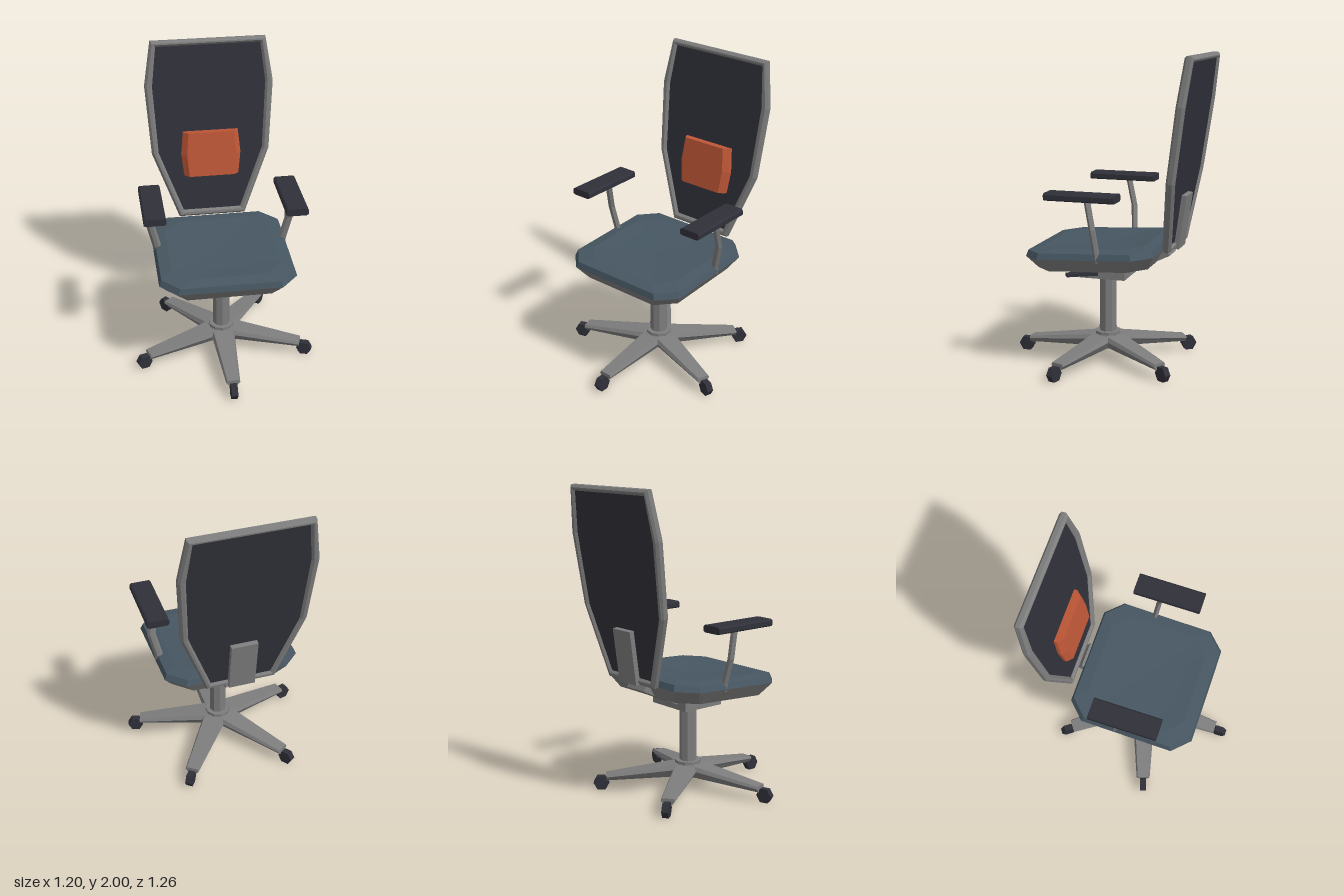
import * as THREE from 'three';

const mat = (name, color) => Object.assign(new THREE.MeshStandardMaterial({ color }), { name });

// Faceted solid through a list of rings (arrays of [x, y, z]), capped at both ends
function loft(rings) {
  const tris = [];
  const n = rings[0].length;
  for (let i = 0; i < rings.length - 1; i++) {
    for (let j = 0; j < n; j++) {
      const k = (j + 1) % n;
      const [a, b, c, d] = [rings[i][j], rings[i][k], rings[i + 1][k], rings[i + 1][j]];
      tris.push([a, b, c], [a, c, d]);
    }
  }
  const first = rings[0], last = rings[rings.length - 1];
  for (let j = 1; j < n - 1; j++) {
    tris.push([first[0], first[j + 1], first[j]], [last[0], last[j], last[j + 1]]);
  }
  // Signed volume tells whether the faces point outward
  let volume = 0;
  for (const [a, b, c] of tris) {
    volume += new THREE.Vector3(...a).dot(new THREE.Vector3(...b).cross(new THREE.Vector3(...c)));
  }
  if (volume < 0) tris.forEach((t) => t.reverse());
  const g = new THREE.BufferGeometry();
  g.setAttribute('position', new THREE.Float32BufferAttribute(tris.flat(2), 3));
  g.computeVertexNormals();
  return g;
}

// Faceted cylinder
function prism(rTop, rBottom, height, sides) {
  const g = new THREE.CylinderGeometry(rTop, rBottom, height, sides).toNonIndexed();
  g.computeVertexNormals();
  return g;
}

// Square ring with cut corners, half sizes w and d
function octagon(w, d, y, cut = 0.11) {
  return [[w, d - cut], [w - cut, d], [cut - w, d], [-w, d - cut],
    [-w, cut - d], [cut - w, -d], [w - cut, -d], [w, cut - d]].map(([x, z]) => [x, y, z]);
}

// Mirrored outline from right-hand points listed bottom to top
function mirrored(points) {
  const left = points.map(([x, y]) => [-x, y]).reverse();
  return [...points, ...left].map(([x, y]) => new THREE.Vector2(x, y));
}

export function createModel() {
  const grey = mat('grey plastic', 0x7d7d7d);
  const dark = mat('dark mesh and rubber', 0x30303a);
  const blue = mat('blue grey fabric', 0x465661);
  const orange = mat('orange cushion', 0xbf5737);

  const model = new THREE.Group();
  model.name = 'officeChair';
  const add = (parent, name, geometry, material, x = 0, y = 0, z = 0) => {
    const m = new THREE.Mesh(geometry, material);
    m.name = name;
    m.position.set(x, y, z);
    parent.add(m);
    return m;
  };

  // Five-legged base with casters
  const base = new THREE.Group();
  base.name = 'base';
  base.position.z = 0.013;
  model.add(base);
  const legRing = (z, w, wLow, y0, y1, y2) => [[wLow, y0, z], [w, y1, z], [w * 0.82, y2, z],
    [-w * 0.82, y2, z], [-w, y1, z], [-wLow, y0, z]];
  const legGeometry = loft([
    legRing(0, 0.085, 0.05, 0.09, 0.15, 0.18),
    legRing(0.54, 0.046, 0.028, 0.065, 0.09, 0.105),
  ]);
  const wheelGeometry = prism(0.051, 0.051, 0.042, 6).rotateY(Math.PI / 2).rotateZ(Math.PI / 2);
  // Set the wheel on a flat side
  wheelGeometry.computeBoundingBox();
  if (wheelGeometry.boundingBox.max.y > 0.048) wheelGeometry.rotateX(Math.PI / 6);
  for (let i = 0; i < 5; i++) {
    const leg = new THREE.Group();
    leg.name = 'leg' + (i + 1);
    leg.rotation.y = (i * Math.PI * 2) / 5;
    add(leg, 'legBeam', legGeometry, grey);
    add(leg, 'casterWheel', wheelGeometry, dark, 0, 0.0445, 0.572);
    base.add(leg);
  }
  add(base, 'hub', prism(0.08, 0.075, 0.1, 10), grey, 0, 0.13);
  add(base, 'hubCollar', prism(0.085, 0.085, 0.02, 10), grey, 0, 0.18);
  add(base, 'column', prism(0.056, 0.056, 0.37, 8), grey, 0, 0.365);
  add(base, 'gasLift', prism(0.04, 0.04, 0.06, 8), grey, 0, 0.56);

  // Tilt mechanism, lever and rear brace
  add(model, 'mechanism', new THREE.BoxGeometry(0.33, 0.11, 0.3), grey, 0, 0.627, 0.002);
  const lever = add(model, 'lever', new THREE.BoxGeometry(0.05, 0.02, 0.2), dark, 0.23, 0.612, 0.115);
  lever.rotation.y = Math.PI / 6;
  const braceSide = (x) => [[x, 0.6, -0.14], [x, 0.67, -0.14], [x, 0.79, -0.395], [x, 0.735, -0.42]];
  add(model, 'rearBrace', loft([braceSide(-0.085), braceSide(0.085)]), grey);

  // Seat shell and dished cushion, tipped slightly forward
  const seat = new THREE.Group();
  seat.name = 'seat';
  seat.position.set(0, 0.752, 0.035);
  seat.rotation.x = 0.055;
  model.add(seat);
  add(seat, 'seatShell', loft([octagon(0.38, 0.362, -0.085), octagon(0.44, 0.418, 0)]), grey);
  add(seat, 'seatCushion', loft([
    octagon(0.44, 0.418, 0),
    octagon(0.425, 0.405, 0.038),
    octagon(0.35, 0.33, 0.05),
    octagon(0.23, 0.23, 0.043, 0.06),
    octagon(0.004, 0.004, 0.03, 0.001),
  ]), blue);

  // Reclined backrest: bevelled frame, mesh panel, lumbar cushion, rear plate
  const back = new THREE.Group();
  back.name = 'backrest';
  back.position.set(0, 0.785, -0.433);
  back.rotation.x = -0.137;
  model.add(back);
  const outer = mirrored([[0.225, 0], [0.395, 0.46], [0.425, 0.925], [0.377, 1.222]]);
  const inner = mirrored([[0.195, 0.045], [0.35, 0.465], [0.375, 0.92], [0.343, 1.185]]);
  const frameShape = new THREE.Shape(outer);
  frameShape.holes.push(new THREE.Path(inner));
  const bevel = 0.014;
  add(back, 'backFrame', new THREE.ExtrudeGeometry(frameShape, {
    depth: 0.055 - 2 * bevel, bevelThickness: bevel, bevelSize: bevel,
    bevelOffset: -bevel, bevelSegments: 1,
  }), grey, 0, 0, bevel - 0.0275);
  add(back, 'meshPanel', new THREE.ExtrudeGeometry(new THREE.Shape(inner.map((p) => p.clone())),
    { depth: 0.02, bevelEnabled: true, bevelThickness: 0.001, bevelSize: 0.012, bevelSegments: 1 }),
  dark, 0, 0, -0.012);
  const lumbarRing = (y, s) => [[-0.2 * s, y, 0], [-0.2 * s, y, 0.03], [-0.165 * s, y, 0.065],
    [0.165 * s, y, 0.065], [0.2 * s, y, 0.03], [0.2 * s, y, 0]];
  add(back, 'lumbarCushion',
    loft([lumbarRing(0.3, 0.92), lumbarRing(0.45, 1), lumbarRing(0.605, 0.92)]), orange);
  add(back, 'backPlate', new THREE.BoxGeometry(0.17, 0.345, 0.032), grey, 0, 0.175, -0.03);

  // Armrests
  const padShape = new THREE.Shape([[-0.07, 0.008], [-0.058, 0], [0.058, 0], [0.07, 0.008],
    [0.07, 0.036], [0.06, 0.046], [-0.06, 0.046], [-0.07, 0.036]].map((p) => new THREE.Vector2(...p)));
  const padGeometry = new THREE.ExtrudeGeometry(padShape, { depth: 0.447, bevelEnabled: false });
  for (const [side, label] of [[1, 'left'], [-1, 'right']]) {
    const arm = new THREE.Group();
    arm.name = label + 'Armrest';
    const stemRing = (x, y, z) => [[-0.028, 0], [-0.012, 0.017], [0.012, 0.017],
      [0.028, 0], [0.012, -0.017], [-0.012, -0.017]].map(([dx, dz]) => [side * (x + dx), y, z + dz]);
    add(arm, 'armStem', loft([stemRing(0.41, 0.74, -0.048), stemRing(0.415, 0.79, -0.045),
      stemRing(0.452, 0.95, -0.03), stemRing(0.445, 1.13, 0.005)]), grey);
    add(arm, 'armPad', padGeometry, dark, side * 0.446, 1.125, -0.186);
    model.add(arm);
  }
  return model;
}
